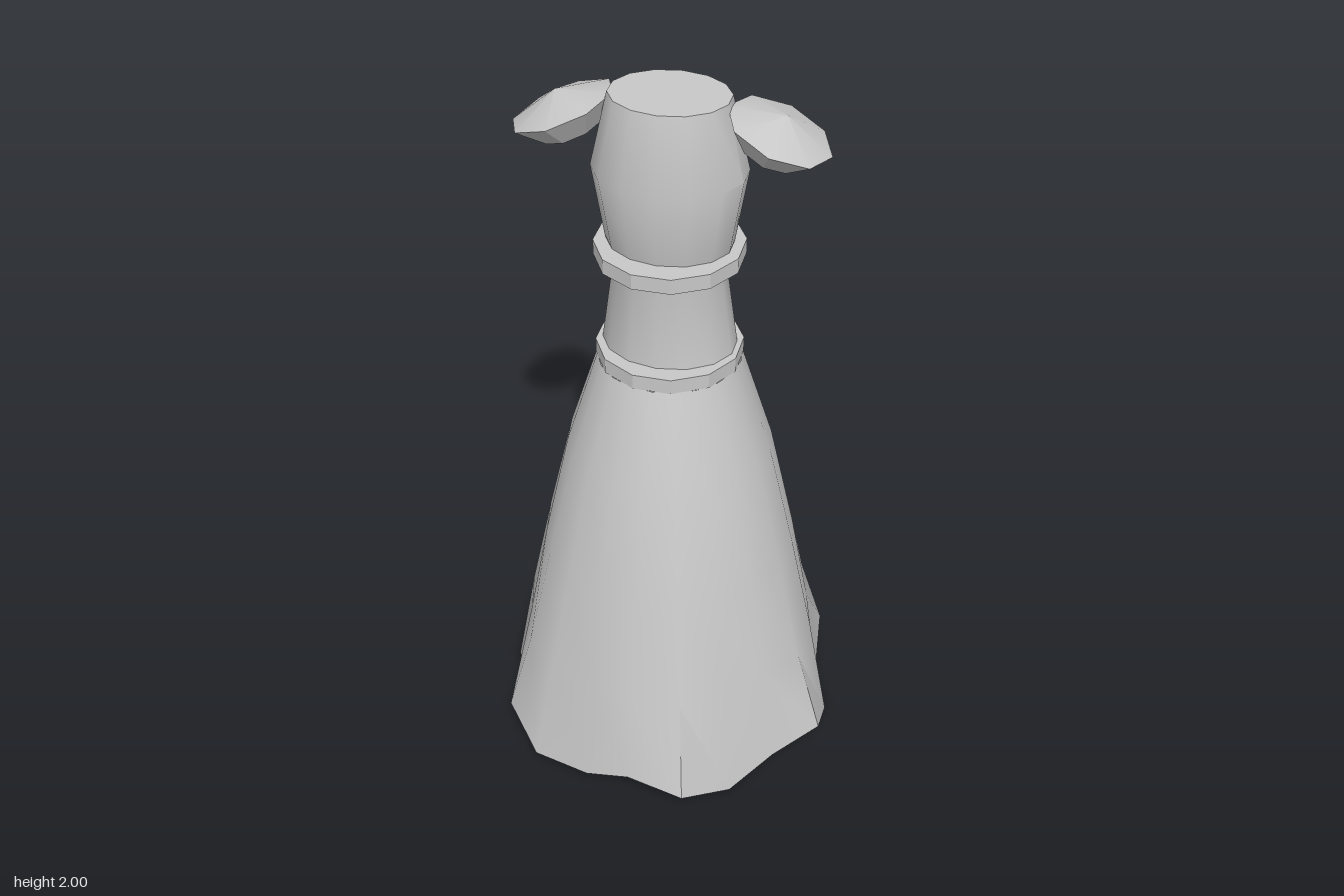
import * as THREE from 'three';
import { toCreasedNormals } from 'three/addons/utils/BufferGeometryUtils.js';

const grey = new THREE.MeshStandardMaterial({ color: 0xc8c8c8, side: THREE.DoubleSide });
grey.name = 'grey cloth';

function part(name, geometry, crease = 0.6) {
  const mesh = new THREE.Mesh(toCreasedNormals(geometry, crease), grey);
  mesh.name = name;
  return mesh;
}

function lathe(profile, sides) {
  return new THREE.LatheGeometry(profile.map(([r, y]) => new THREE.Vector2(r, y)), sides);
}

// Rippled skirt: each hem point is [radius, height], repeated after half a turn
function skirtGeometry() {
  const hem = [
    [0.485, 0.015], [0.515, 0.1], [0.466, 0.07], [0.466, 0.005], [0.515, 0.06],
    [0.485, 0.1], [0.452, 0.016], [0.508, 0.04], [0.508, 0.105], [0.452, 0.045],
  ];
  // [height, mean radius, ripple strength]
  const rings = [[1.25, 0.193, 0], [0.97, 0.282, 0.08], [0.65, 0.357, 0.25], [0.345, 0.422, 0.5], [0, 0.482, 1]];
  const n = hem.length * 2;
  const positions = [], index = [];
  rings.forEach(([y, radius, ripple], j) => {
    for (let i = 0; i < n; i++) {
      const [hemRadius, hemY] = hem[i % hem.length];
      const a = (i / n) * Math.PI * 2;
      const r = radius * (1 + ripple * (hemRadius / 0.482 - 1));
      positions.push(r * Math.cos(a), j === rings.length - 1 ? hemY : y, r * Math.sin(a));
      if (j === 0) continue;
      const k = (i + 1) % n, up = (j - 1) * n, low = j * n;
      index.push(up + i, up + k, low + i, up + k, low + k, low + i);
    }
  });
  const g = new THREE.BufferGeometry();
  g.setAttribute('position', new THREE.Float32BufferAttribute(positions, 3));
  g.setIndex(index);
  g.computeVertexNormals();
  return g;
}

export function createModel() {
  const model = new THREE.Group();
  model.name = 'dress';

  model.add(part('skirt', skirtGeometry(), 0.7));

  // Oval bodice, narrow below the upper band and closed on top
  const bodice = lathe([[0, 1.25], [0.185, 1.25], [0.147, 1.53], [0.167, 1.6], [0.2, 1.8], [0.154, 2], [0, 2]], 14);
  bodice.scale(1, 1, 0.81);
  model.add(part('bodice', bodice));

  // Twelve-sided bands with flats facing front and sides
  for (const [name, y] of [['waistBand', 1.27], ['upperBand', 1.573]]) {
    const band = new THREE.CylinderGeometry(0.196, 0.196, 0.042, 12);
    band.rotateY(Math.PI / 12);
    band.translate(0, y, 0);
    model.add(part(name, band, 0.4));
  }

  // Drooping eight-sided cap sleeves
  for (const side of [1, -1]) {
    const sleeve = part(side > 0 ? 'leftSleeve' : 'rightSleeve',
      lathe([[0, -0.065], [0.078, -0.065], [0.14, 0], [0, 0.047]], 8), 0.45);
    sleeve.position.set(side * 0.272, 1.932, 0);
    sleeve.rotation.z = -side * 0.38;
    model.add(sleeve);
  }

  return model;
}
